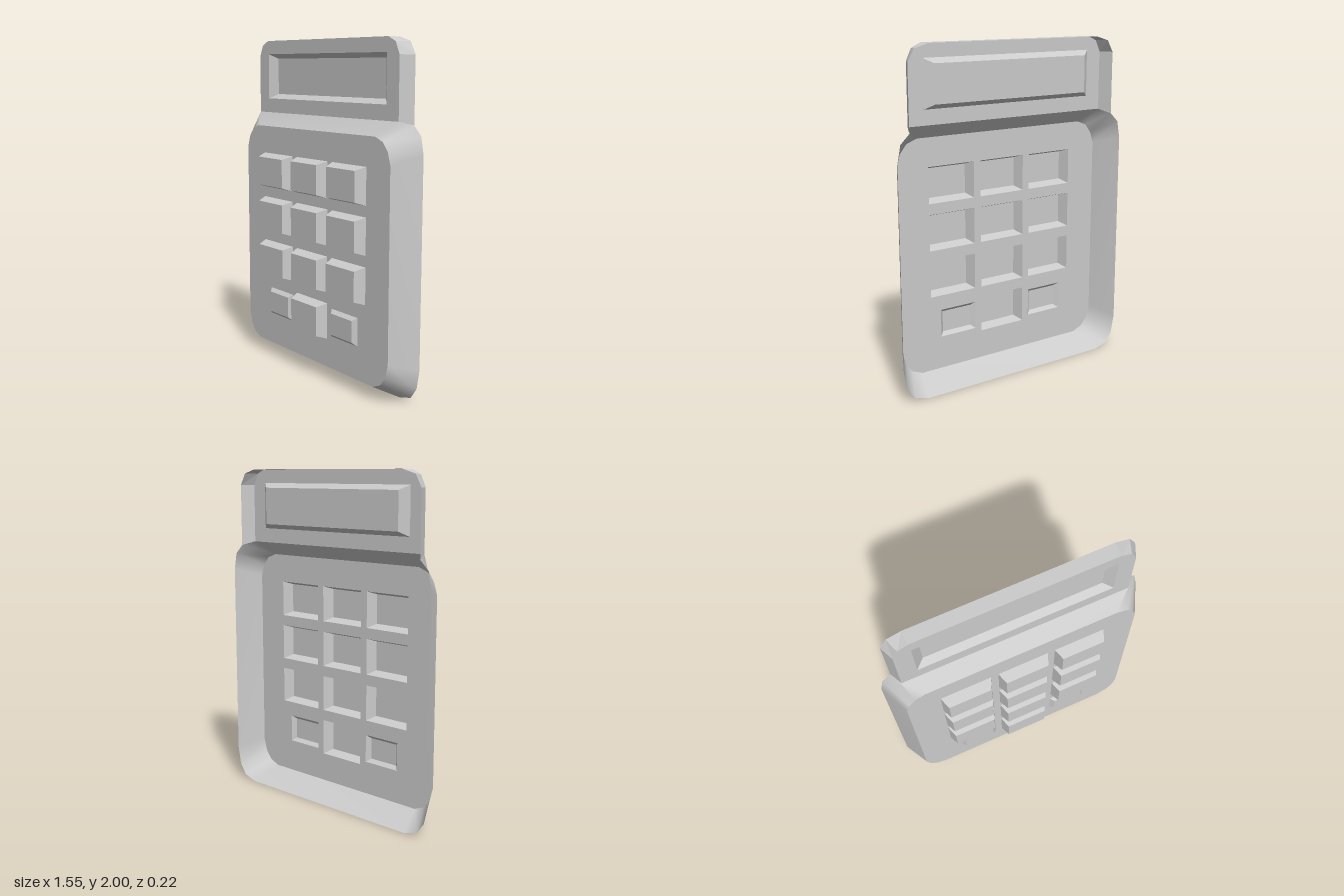
import * as THREE from 'three';

const material = new THREE.MeshStandardMaterial({ color: 0xcccccc, side: THREE.DoubleSide });
const flatMaterial = new THREE.MeshStandardMaterial({ color: 0xcccccc, side: THREE.DoubleSide, flatShading: true });

const BACK = -0.11, BODY_FRONT = 0.05, PANEL_FRONT = -0.03;

function addMesh(parent, name, geometry, mat = material) {
  const mesh = new THREE.Mesh(geometry, mat);
  mesh.name = name;
  parent.add(mesh);
  return mesh;
}

// Completes a right-hand half outline (counter-clockwise) with its mirror image
const mirrored = (half) => [...half, ...half.slice().reverse().map(([x, y, z]) => [-x, y, z])];

const atDepth = (points, z) => points.map(([x, y]) => [x, y, z]);

const rect = (x0, y0, x1, y1, inset = [0, 0]) => {
  const [i, j] = inset;
  return [[x0 + i, y0 + j], [x1 - i, y0 + j], [x1 - i, y1 - j], [x0 + i, y1 - j]];
};

// Wall joining two outlines with equal point counts
function wall(a, b, closed = true) {
  const n = a.length, index = [];
  for (let i = 0; i < (closed ? n : n - 1); i++) {
    const j = (i + 1) % n;
    index.push(i, j, n + j, i, n + j, n + i);
  }
  const geometry = new THREE.BufferGeometry();
  geometry.setAttribute('position', new THREE.Float32BufferAttribute([...a, ...b].flat(), 3));
  geometry.setIndex(index);
  geometry.computeVertexNormals();
  return geometry;
}

// Flat plate facing +z, with openings
function plate(outline, z, holes = []) {
  const toVectors = (pts) => pts.map(([x, y]) => new THREE.Vector2(x, y));
  const shape = new THREE.Shape(toVectors(outline));
  for (const hole of holes) shape.holes.push(new THREE.Path(toVectors(hole)));
  return new THREE.ShapeGeometry(shape).translate(0, 0, z);
}

// Four sloping sides closed by a flat face: a raised key or a sunken window
function tray(parent, name, bounds, inset, z0, z1) {
  const group = new THREE.Group();
  group.name = name;
  const inner = rect(...bounds, inset);
  addMesh(group, name + 'Sides', wall(atDepth(rect(...bounds), z0), atDepth(inner, z1)), flatMaterial);
  addMesh(group, name + 'Face', plate(inner, z1));
  parent.add(group);
}

export function createModel() {
  const model = new THREE.Group();
  model.name = 'keypadDevice';

  // Key layout: three full rows, then a short row with small side keys
  const keys = [];
  for (const y of [1.2, 0.922, 0.643]) {
    for (const x of [-0.349, 0, 0.349]) keys.push({ bounds: [x - 0.152, y - 0.107, x + 0.152, y + 0.107], top: 0.113 });
  }
  keys.push({ bounds: [-0.152, 0.255, 0.152, 0.47], top: 0.113 });
  for (const x of [-0.316, 0.316]) keys.push({ bounds: [x - 0.12, 0.28, x + 0.12, 0.447], top: 0.073 });

  // Body shell, open at the back
  const bodyFront = mirrored([
    [0.57, 0.083], [0.635, 0.11], [0.675, 0.16], [0.697, 0.24],
    [0.697, 1.33], [0.675, 1.4], [0.635, 1.45], [0.57, 1.475],
  ]);
  const bodyBack = mirrored([
    [0.62, 0, BACK], [0.71, 0.025, BACK], [0.757, 0.09, BACK], [0.777, 0.2, BACK],
    [0.777, 1.38, BACK], [0.757, 1.48, BACK], [0.7, 1.535, BACK], [0.667, 1.555, PANEL_FRONT],
  ]);
  addMesh(model, 'bodyWall', wall(bodyBack, atDepth(bodyFront, BODY_FRONT)));
  addMesh(model, 'bodyFace', plate(bodyFront, BODY_FRONT, keys.map((k) => rect(...k.bounds))));

  // Keys
  for (const { bounds, top } of keys) tray(model, 'key', bounds, [0.024, 0.02], BODY_FRONT, top);

  // Display panel, open at the back and bottom
  const panelFront = mirrored([[0.667, 1.555], [0.667, 1.905], [0.635, 1.973], [0.575, 2]]);
  const panelBack = mirrored([[0.702, 1.535], [0.702, 1.905], [0.662, 1.975], [0.575, 2]]);
  const windowBounds = [-0.568, 1.642, 0.568, 1.918];
  addMesh(model, 'panelWall', wall(atDepth(panelBack, BACK), atDepth(panelFront, PANEL_FRONT), false), flatMaterial);
  addMesh(model, 'panelFace', plate(panelFront, PANEL_FRONT, [rect(...windowBounds)]));

  // Sunken display window
  tray(model, 'displayWindow', windowBounds, [0.05, 0.028], PANEL_FRONT, PANEL_FRONT - 0.04);

  return model;
}
